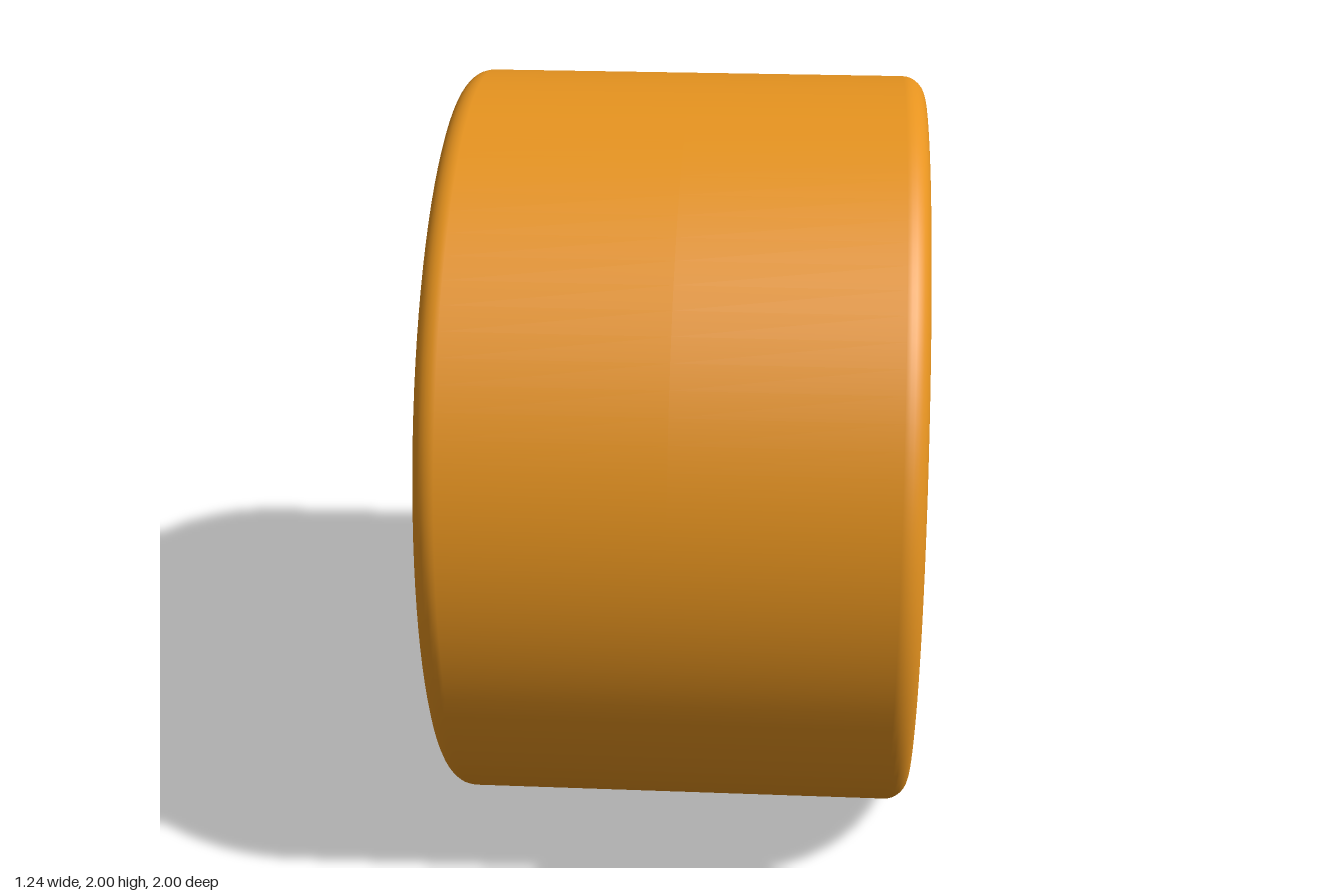
import * as THREE from 'three';
import { toCreasedNormals } from 'three/addons/utils/BufferGeometryUtils.js';

const HALF = 0.62, R = 1, FILLET = 0.06;      // wheel half width, radius, edge rounding
const RING = 0.813, HEX = 0.11, BORE = 0.052; // bolt circle, nut pocket, bolt hole
const FLOOR = 0.32;                           // axial position of the pocket floors

// Regular polygon, counter-clockwise
function polygon(n, r, start = 0, cx = 0, cy = 0) {
  return Array.from({ length: n }, (_, i) => {
    const a = start + (i / n) * Math.PI * 2;
    return new THREE.Vector2(cx + r * Math.cos(a), cy + r * Math.sin(a));
  });
}

// Flat plate with holes, facing +z
function plate(outline, holes, z) {
  const shape = new THREE.Shape(outline);
  shape.holes = holes.map((h) => new THREE.Path(h));
  return new THREE.ShapeGeometry(shape).translate(0, 0, z);
}

// Inward-facing wall of a hole between two depths
function holeWall(loop, z0, z1) {
  const pos = [];
  loop.forEach((a, i) => {
    const b = loop[(i + 1) % loop.length];
    pos.push(b.x, b.y, z0, a.x, a.y, z0, a.x, a.y, z1);
    pos.push(b.x, b.y, z0, a.x, a.y, z1, b.x, b.y, z1);
  });
  const g = new THREE.BufferGeometry();
  g.setAttribute('position', new THREE.Float32BufferAttribute(pos, 3));
  return toCreasedNormals(g, 0.5);
}

// Axle hexagon with its corners trimmed
function axleLoop() {
  const flat = 0.133, corner = 0.144, d = Math.acos(flat / corner), pts = [];
  for (let i = 0; i < 6; i++) {
    const mid = Math.PI / 6 + (i * Math.PI) / 3;
    for (const a of [mid - d, mid + d, mid + Math.PI / 6]) {
      pts.push(new THREE.Vector2(corner * Math.cos(a), corner * Math.sin(a)));
    }
  }
  return pts;
}

// One half of the wheel, built along +z from the middle seam
function wheelHalf(material) {
  const half = new THREE.Group();
  const add = (name, geometry) => {
    const mesh = new THREE.Mesh(geometry, material);
    mesh.name = name;
    half.add(mesh);
  };

  // Tread with a rounded outer edge
  const profile = [new THREE.Vector2(R, 0)];
  for (let i = 0; i <= 8; i++) {
    const a = (i / 8) * Math.PI / 2;
    profile.push(new THREE.Vector2(
      R - FILLET + FILLET * Math.cos(a), HALF - FILLET + FILLET * Math.sin(a)));
  }
  add('tread', new THREE.LatheGeometry(profile, 96).rotateX(Math.PI / 2));

  // Nut pockets and bolt holes around the face
  const pockets = [], axle = axleLoop();
  for (let i = 0; i < 12; i++) {
    const a = Math.PI / 12 + (i * Math.PI) / 6;
    const cx = RING * Math.cos(a), cy = RING * Math.sin(a);
    const hex = polygon(6, HEX, a + Math.PI / 6, cx, cy);
    const bore = polygon(24, BORE, 0, cx, cy);
    pockets.push(hex);
    add('nutPocketWall', holeWall(hex, FLOOR, HALF));
    add('nutPocketFloor', plate(hex, [bore], FLOOR));
    add('boltHole', holeWall(bore, 0, FLOOR));
  }

  // Side face and axle hole
  add('sideFace', plate(polygon(96, R - FILLET), [...pockets, axle], HALF));
  add('axleHole', holeWall(axle, 0, HALF));
  return half;
}

export function createModel() {
  const material = new THREE.MeshStandardMaterial({ color: 0xe6931f });
  const model = new THREE.Group();
  model.name = 'wheel';
  for (const side of [1, -1]) {
    const half = wheelHalf(material);
    half.name = side > 0 ? 'leftHalf' : 'rightHalf';
    half.rotation.y = side * Math.PI / 2;
    half.position.y = R;
    model.add(half);
  }
  return model;
}
